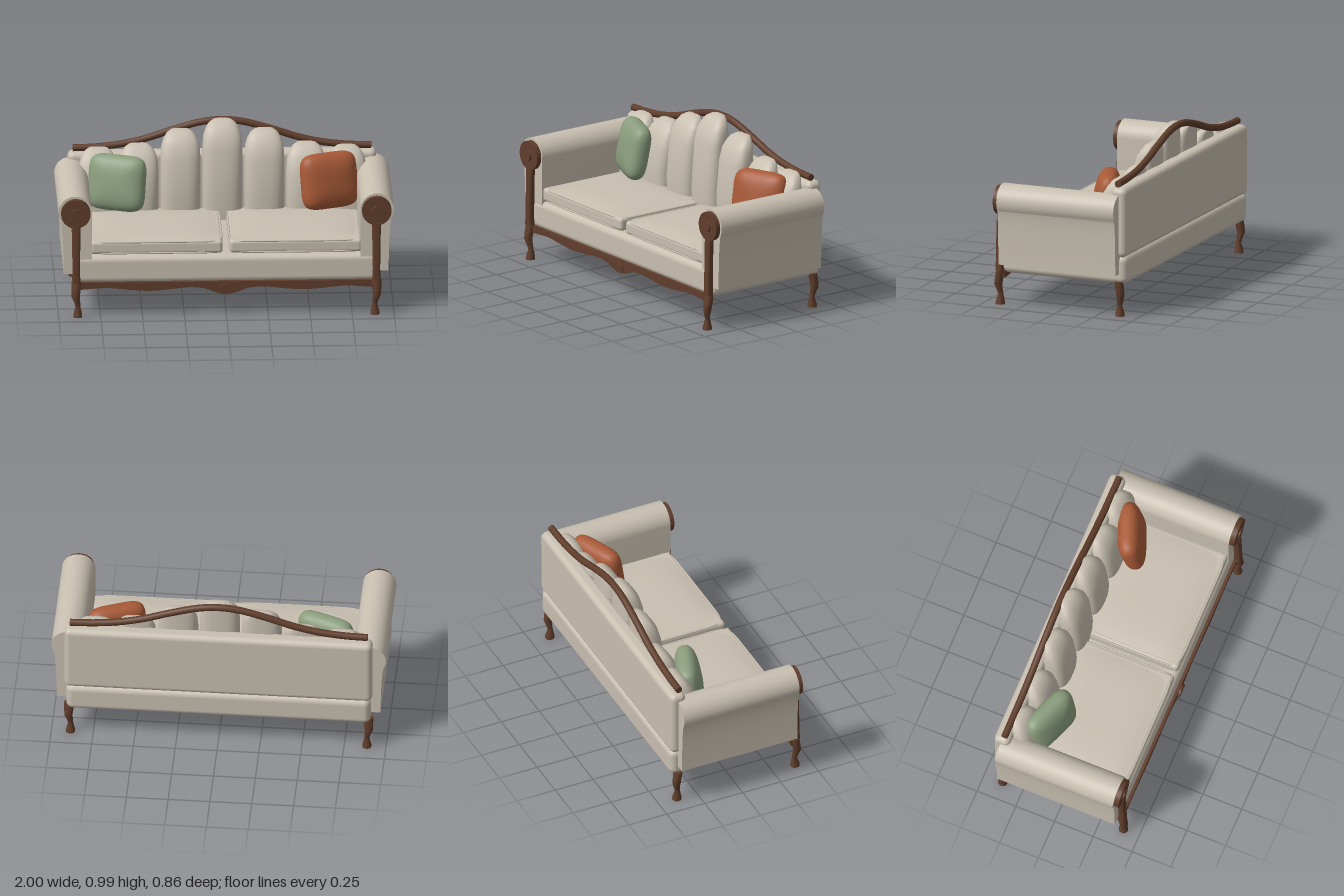
import * as THREE from 'three';
import { toCreasedNormals, mergeVertices } from 'three/addons/utils/BufferGeometryUtils.js';
import { RoundedBoxGeometry } from 'three/addons/geometries/RoundedBoxGeometry.js';

const material = (name, color) => {
  const m = new THREE.MeshStandardMaterial({ color });
  m.name = name;
  return m;
};

// Stack of superellipse rings [y, centreX, centreZ, halfX, halfZ], bottom to top, capped
function loft(rings, power = 2, segs = 24, crease = 0.7) {
  const pos = [], index = [];
  const bend = (v) => Math.sign(v) * Math.abs(v) ** (2 / power);
  for (const [y, cx, cz, hx, hz] of rings) {
    for (let j = 0; j < segs; j++) {
      const a = (j / segs) * Math.PI * 2;
      pos.push(cx + hx * bend(Math.cos(a)), y, cz + hz * bend(Math.sin(a)));
    }
  }
  const last = rings.length - 1, bottom = rings.length * segs, top = bottom + 1;
  for (const r of [rings[0], rings[last]]) pos.push(r[1], r[0], r[2]);
  for (let j = 0; j < segs; j++) {
    const k = (j + 1) % segs;
    for (let i = 0; i < last; i++) {
      const a = i * segs + j, b = i * segs + k;
      index.push(a, a + segs, b, b, a + segs, b + segs);
    }
    index.push(bottom, j, k, top, last * segs + k, last * segs + j);
  }
  const g = new THREE.BufferGeometry();
  g.setAttribute('position', new THREE.Float32BufferAttribute(pos, 3));
  g.setIndex(index);
  return toCreasedNormals(g, crease);
}

// Plump square pillow: a box grid pushed out to a superellipsoid
function pillowGeometry(hx, hy, hz) {
  let g = new THREE.BoxGeometry(2, 2, 2, 18, 18, 10);
  g.deleteAttribute('uv');
  g.deleteAttribute('normal');
  g = mergeVertices(g);
  const p = g.attributes.position;
  for (let i = 0; i < p.count; i++) {
    const x = p.getX(i), y = p.getY(i), z = p.getZ(i);
    const side = (Math.abs(x) ** 5 + Math.abs(y) ** 5) ** 0.2;
    const r = (side ** 2.5 + Math.abs(z) ** 2.5) ** (-1 / 2.5);
    p.setXYZ(i, x * r * hx, y * r * hy, z * r * hz);
  }
  g.computeVertexNormals();
  return g;
}

// Smooth catmull curve through a mirrored list of [x, y] points, x from 0 outward
function mirroredPath(half, z = 0) {
  const left = half.slice(1).reverse().map(([x, y]) => [-x, y]);
  return new THREE.CatmullRomCurve3([...left, ...half].map(([x, y]) => new THREE.Vector3(x, y, z)));
}

function extrude(shape, z, depth) {
  const g = new THREE.ExtrudeGeometry(shape, { depth, bevelEnabled: false, curveSegments: 24 });
  return toCreasedNormals(g.translate(0, 0, z), 0.45);
}

export function createModel() {
  const fabric = material('beige fabric', 0xc8bfb0);
  const wood = material('dark wood', 0x5f3d2b);
  const green = material('green fabric', 0x8a9d7d);
  const rust = material('rust fabric', 0xa85a37);

  const sofa = new THREE.Group();
  sofa.name = 'sofa';
  const add = (name, geometry, mat, x = 0, y = 0, z = 0) => {
    const mesh = new THREE.Mesh(geometry, mat);
    mesh.name = name;
    mesh.position.set(x, y, z);
    sofa.add(mesh);
    return mesh;
  };

  // Upholstered base and back
  add('seatBase', new RoundedBoxGeometry(1.82, 0.175, 0.81, 5, 0.04), fabric, 0, 0.2825, -0.025);
  add('backPanel', new RoundedBoxGeometry(1.84, 0.425, 0.1, 5, 0.035), fabric, 0, 0.5725, -0.38);

  // Channelled back: seven upright rolls, tallest in the middle
  const tops = [0.99, 0.93, 0.842, 0.82];
  const channelX = [0, 0.25, 0.5, 0.74];
  for (let i = -3; i <= 3; i++) {
    const n = Math.abs(i), top = tops[n], x = Math.sign(i) * channelX[n];
    const profile = [
      [0.4, 0.118, -0.195], [0.55, 0.12, -0.19], [top - 0.17, 0.12, -0.212],
      [top - 0.09, 0.114, -0.235], [top - 0.05, 0.1, -0.26],
      [top - 0.02, 0.08, -0.285], [top - 0.004, 0.055, -0.31], [top, 0.03, -0.325],
    ];
    const rings = profile.map(([y, w, front]) => {
      return [y, x, (front - 0.36) / 2, w, (front + 0.36) / 2];
    });
    add('backChannel', loft(rings, 2.8, 32), fabric);
  }

  // Curved wooden top rail
  const rail = mirroredPath([[0, 0.974], [0.12, 0.962], [0.3, 0.912], [0.45, 0.862],
    [0.6, 0.828], [0.75, 0.811], [0.89, 0.806]], -0.368);
  add('topRail', new THREE.TubeGeometry(rail, 64, 0.021, 14), wood);
  for (const s of [-1, 1]) {
    const cap = add('railEnd', new THREE.CircleGeometry(0.021, 14), wood, s * 0.89, 0.806, -0.368);
    cap.rotation.y = s * Math.PI / 2;
  }

  // Wavy front apron with a half-round ornament
  const edge = mirroredPath([[0, 0.131], [0.06, 0.142], [0.13, 0.168], [0.22, 0.176],
    [0.34, 0.164], [0.46, 0.156], [0.58, 0.164], [0.7, 0.176], [0.8, 0.172], [0.9, 0.163]]);
  const apron = new THREE.Shape(edge.getPoints(80).map((p) => new THREE.Vector2(p.x, p.y)));
  apron.lineTo(0.9, 0.21);
  apron.lineTo(-0.9, 0.21);
  add('frontApron', extrude(apron, 0.366, 0.029), wood);
  const fan = new THREE.Shape();
  fan.absarc(0, 0.155, 0.045, 0, Math.PI);
  add('apronOrnament', extrude(fan, 0.37, 0.038), wood);

  for (const s of [-1, 1]) {
    // Rolled arm
    const arm = new THREE.Shape();
    arm.moveTo(s * 0.8, 0.26);
    arm.lineTo(s * 0.968, 0.26);
    arm.quadraticCurveTo(s * 0.97, 0.52, s * 0.986, 0.594);
    for (let i = 0; i <= 28; i++) {
      const a = -0.5 + (i / 28) * (Math.PI + 0.5);
      arm.lineTo(s * (0.9 + 0.1 * Math.cos(a)), 0.645 + 0.1 * Math.sin(a));
    }
    add('arm', extrude(arm, -0.385, 0.76), fabric);

    // Round arm face with a button
    const disc = new THREE.CylinderGeometry(0.088, 0.088, 0.032, 40).rotateX(Math.PI / 2);
    add('armDisc', disc, wood, s * 0.897, 0.643, 0.389);
    const button = new THREE.CylinderGeometry(0.03, 0.032, 0.012, 24).rotateX(Math.PI / 2);
    add('armButton', button, wood, s * 0.897, 0.643, 0.41);

    // Front post under the arm face
    add('frontPost', loft([
      [0.213, s * 0.895, 0.396, 0.026, 0.023], [0.28, s * 0.895, 0.396, 0.022, 0.022],
      [0.4, s * 0.895, 0.394, 0.024, 0.021], [0.565, s * 0.895, 0.391, 0.027, 0.018],
    ], 4), wood);

    // Cabriole legs
    for (const [name, f, z] of [['frontLeg', 1, 0.397], ['backLeg', -1, 0.379]]) {
      const rings = [[0, 0.886, 0.001, 0.027, 0.028], [0.015, 0.886, 0.001, 0.026, 0.027],
        [0.06, 0.885, -0.002, 0.015, 0.015], [0.09, 0.889, 0.004, 0.018, 0.018],
        [0.125, 0.898, 0.009, 0.024, 0.024], [0.17, 0.896, 0.003, 0.028, 0.025],
        [0.212, 0.893, -0.004, 0.031, 0.025]];
      add(name, loft(rings.map(([y, x, dz, w, d]) => [y, s * x, f * (z + dz), w, d]), 2.2), wood);
    }

    // Seat cushion with a crowned top and piping
    const cx = s * 0.415;
    add('seatCushion', new RoundedBoxGeometry(0.79, 0.082, 0.63, 4, 0.022), fabric, cx, 0.417, 0.055);
    const crown = new THREE.PlaneGeometry(0.77, 0.61, 16, 16).rotateX(-Math.PI / 2);
    const p = crown.attributes.position;
    for (let i = 0; i < p.count; i++) {
      const u = p.getX(i) / 0.385, v = p.getZ(i) / 0.305;
      p.setY(i, 0.02 * (1 - u ** 4) * (1 - v ** 4));
    }
    crown.computeVertexNormals();
    add('cushionCrown', crown, fabric, cx, 0.455, 0.055);
    const loop = [];
    for (let i = 0; i < 72; i++) {
      const a = (i / 72) * Math.PI * 2, c = Math.cos(a), d = Math.sin(a);
      loop.push(new THREE.Vector3(0.392 * Math.sign(c) * Math.abs(c) ** 0.2, 0,
        0.312 * Math.sign(d) * Math.abs(d) ** 0.2));
    }
    const seam = new THREE.CatmullRomCurve3(loop, true);
    for (const y of [0.452, 0.384]) {
      add('cushionPiping', new THREE.TubeGeometry(seam, 120, 0.006, 6, true), fabric, cx, y, 0.055);
    }

    // Throw pillow, leaning back and turned
    const pillow = add('throwPillow', pillowGeometry(0.178, 0.168, 0.078),
      s < 0 ? green : rust, s * 0.632, 0.648, -0.178);
    pillow.rotation.set(-0.18, s * 0.38, 0, 'YXZ');
  }
  return sofa;
}
